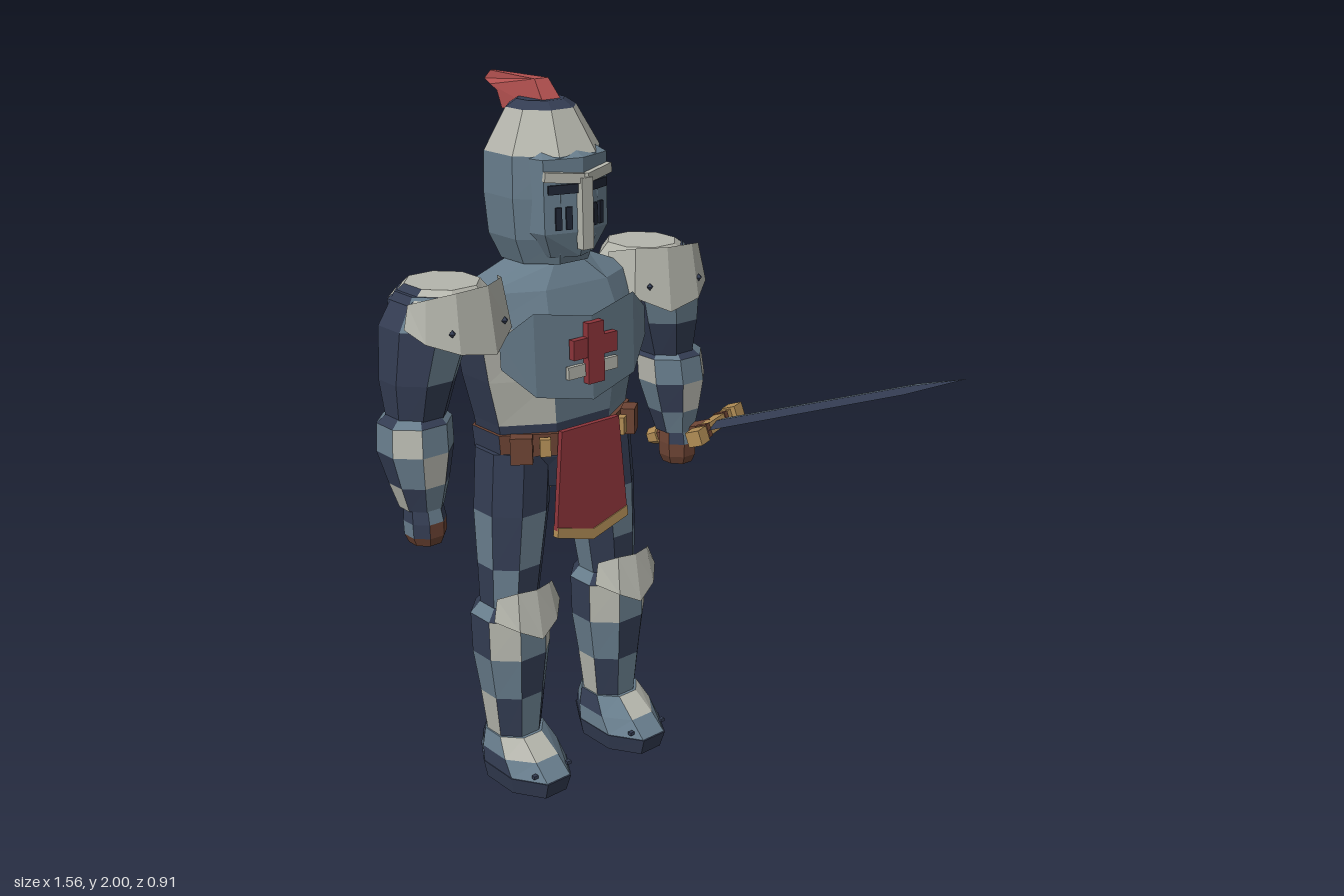
import * as THREE from 'three';

const mat = (name, color) => new THREE.MeshStandardMaterial({ name, color, side: THREE.DoubleSide });
const M = {
  S: mat('steel blue', 0x677c8b), D: mat('dark steel', 0x333c52), L: mat('pale steel', 0xb4b5ac),
  R: mat('red cloth', 0x8c343a), V: mat('dark plum cloth', 0x4c2e3a), P: mat('plume red', 0xb2504f),
  G: mat('gold', 0xb08c55), B: mat('brown leather', 0x6b4333), W: mat('blade steel', 0x55636f), K: mat('black slit', 0x1f2534),
};
const UP = new THREE.Vector3(0, 1, 0);

function flat(g) {
  const f = g.index ? g.toNonIndexed() : g;
  f.computeVertexNormals();
  return f;
}
function add(parent, name, geo, key, pos = [0, 0, 0], rot = [0, 0, 0]) {
  const m = new THREE.Mesh(flat(geo), M[key]);
  m.name = name;
  m.position.set(...pos);
  m.rotation.set(...rot);
  parent.add(m);
}
const box = (p, name, key, size, pos, rot) => add(p, name, new THREE.BoxGeometry(...size), key, pos, rot);

// Eight-sided armour shell from rings [y, cx, cz, rx, rz]; each band has a
// string of facet colours, starting in front and turning to the model's left.
function loft(parent, name, rings, bands, s = 1, caps = 'DD') {
  const n = 8, k = 1 / Math.cos(Math.PI / n), tris = {};
  const pt = ([y, cx, cz, rx, rz], i) => {
    const a = (i - 0.5) * 2 * Math.PI / n;
    return [s * cx + Math.sin(a) * rx * k, y, cz + Math.cos(a) * rz * k];
  };
  const put = (key, ...pts) => (tris[key] ??= []).push(...pts.flat());
  const last = rings[rings.length - 1];
  for (let i = 0; i < n; i++) {
    for (let j = 0; j + 1 < rings.length; j++) {
      const band = bands[j % bands.length];
      const key = band[(s > 0 ? i : (n - i) % n) % band.length];
      const a = pt(rings[j], i), b = pt(rings[j], i + 1), c = pt(rings[j + 1], i + 1), d = pt(rings[j + 1], i);
      put(key, a, b, c, a, c, d);
    }
    const lo = [s * rings[0][1], rings[0][0], rings[0][2]], hi = [s * last[1], last[0], last[2]];
    put(caps[0], lo, pt(rings[0], i + 1), pt(rings[0], i));
    put(caps[1], hi, pt(last, i), pt(last, i + 1));
  }
  const geo = new THREE.BufferGeometry(), keys = Object.keys(tris);
  geo.setAttribute('position', new THREE.Float32BufferAttribute(keys.flatMap(q => tris[q]), 3));
  let start = 0;
  keys.forEach((q, i) => { geo.addGroup(start, tris[q].length / 3, i); start += tris[q].length / 3; });
  geo.computeVertexNormals();
  const m = new THREE.Mesh(geo, keys.map(q => M[q]));
  m.name = name;
  parent.add(m);
}

// Open sheet through rows of points
function sheet(parent, name, key, rows) {
  const v = [];
  for (let j = 0; j + 1 < rows.length; j++)
    for (let i = 0; i + 1 < rows[j].length; i++) {
      const a = rows[j][i], b = rows[j][i + 1], c = rows[j + 1][i + 1], d = rows[j + 1][i];
      v.push(...a, ...d, ...c, ...a, ...c, ...b);
    }
  const g = new THREE.BufferGeometry();
  g.setAttribute('position', new THREE.Float32BufferAttribute(v, 3));
  add(parent, name, g, key);
}
// Curved guard wrapped round a limb; columns are [degrees, topY, bottomY]
function guard(parent, name, key, s, cx, cz, rTop, rBot, cols) {
  const row = (r, q) => cols.map(c => {
    const a = c[0] * Math.PI / 180;
    return [s * (cx + r * Math.sin(a)), c[q], cz + r * Math.cos(a)];
  });
  const rows = [row(rTop, 1), row(rBot, 2)];
  sheet(parent, name, key, s > 0 ? rows : rows.map(r => r.reverse()));
}
function panel(pts, depth) {
  const shape = new THREE.Shape(pts.map(p => new THREE.Vector2(...p)));
  return new THREE.ExtrudeGeometry(shape, { depth, bevelEnabled: false });
}

function buildSide(g, s) {
  const side = new THREE.Group();
  side.name = s > 0 ? 'leftLimbs' : 'rightLimbs';
  g.add(side);
  // Leg
  loft(side, 'thigh', [[0.55, 0.18, 0.025, 0.078, 0.08], [0.68, 0.17, 0.025, 0.088, 0.09], [0.84, 0.155, 0.02, 0.1, 0.105], [1.02, 0.14, 0.02, 0.1, 0.105]],
    ['DSDDSDSD', 'SDSDDSDD', 'DDDSDDSD'], s);
  loft(side, 'greave', [[0.12, 0.18, 0.025, 0.07, 0.075], [0.28, 0.18, 0.027, 0.088, 0.09], [0.41, 0.18, 0.027, 0.105, 0.105], [0.53, 0.18, 0.027, 0.106, 0.108], [0.57, 0.18, 0.025, 0.07, 0.075]],
    ['SDLSDSLD', 'DSSLSDSS', 'SLDSSSDL', 'SDSDSDSD'], s);
  guard(side, 'kneeGuard', 'L', s, 0.18, 0.05, 0.108, 0.13, [[-62, 0.61, 0.55], [-30, 0.63, 0.52], [0, 0.63, 0.485], [30, 0.63, 0.52], [62, 0.61, 0.55]]);
  loft(side, 'sole', [[0, 0.18, 0.068, 0.09, 0.15], [0.055, 0.18, 0.072, 0.1, 0.165]], ['D'], s);
  loft(side, 'boot', [[0.055, 0.18, 0.072, 0.098, 0.16], [0.1, 0.18, 0.05, 0.094, 0.13], [0.15, 0.18, 0.025, 0.078, 0.088]], ['SSDSSDSS', 'LLSDSSDS'], s, 'DS');
  for (const a of [-0.06, 0.06]) box(side, 'bootRivet', 'D', [0.014, 0.01, 0.012], [s * 0.18 + a, 0.073, 0.2]);
  // Arm; the right one hangs a little wider
  const o = s > 0 ? 0 : 0.02;
  loft(side, 'upperArm', [[1.15, 0.43 + o, 0.02, 0.07, 0.07], [1.28, 0.415 + o, 0.02, 0.095, 0.1], [1.42, 0.4, 0.02, 0.115, 0.12], [1.5, 0.37, 0.01, 0.09, 0.1]],
    ['DDDSDDDD', 'SDDDSDDS', 'DSDSDSDD'], s);
  loft(side, 'forearm', [[0.93, 0.44 + o, 0.04, 0.055, 0.058], [1.0, 0.44 + o, 0.035, 0.075, 0.075], [1.09, 0.44 + o, 0.025, 0.095, 0.096], [1.165, 0.435 + o, 0.02, 0.092, 0.093], [1.195, 0.43 + o, 0.02, 0.06, 0.06]],
    ['SDLSDSDS', 'LSDSLDSD', 'SLSDSSLS', 'DSDSDSDS'], s);
  loft(side, 'fist', [[0.83, 0.44 + o, 0.05, 0.042, 0.045], [0.855, 0.44 + o, 0.05, 0.052, 0.055], [0.895, 0.44 + o, 0.05, 0.053, 0.056], [0.945, 0.44 + o, 0.045, 0.046, 0.05]],
    ['BBBDBBBB', 'BDSDSBBB', 'SDDSDDBD'], s, 'BD');
  // Shoulder armour
  loft(side, 'pauldron', [[1.42, 0.355, 0.01, 0.122, 0.125], [1.48, 0.35, 0.01, 0.125, 0.13], [1.515, 0.34, 0.01, 0.09, 0.1]],
    ['LDDDSSLL', 'LLDLLLLL'], s, 'DL');
  guard(side, 'shoulderGuard', 'L', s, 0.345, 0.01, 0.158, 0.18, [[-78, 1.51, 1.43], [-48, 1.525, 1.39], [-15, 1.525, 1.345], [20, 1.52, 1.365], [48, 1.505, 1.395], [66, 1.49, 1.43]]);
  for (const a of [-0.6, 0.45])
    add(side, 'shoulderRivet', new THREE.OctahedronGeometry(0.011), 'D', [s * (0.345 + 0.172 * Math.sin(a)), 1.42, 0.01 + 0.172 * Math.cos(a)]);
}

function buildHead(g) {
  const head = new THREE.Group();
  head.name = 'head';
  g.add(head);
  loft(head, 'neck', [[1.46, 0, 0.02, 0.095, 0.09], [1.58, 0, 0.02, 0.085, 0.085]], ['DSDSSSSD']);
  loft(head, 'helmet', [[1.53, 0, 0.01, 0.115, 0.12], [1.6, 0, 0.005, 0.142, 0.147], [1.71, 0, 0.005, 0.15, 0.155], [1.82, 0, 0.005, 0.145, 0.152], [1.93, 0, 0.005, 0.088, 0.092], [1.95, 0, 0.005, 0.06, 0.063]],
    ['SSSSSDSS', 'SSSSSSSS', 'SSDSLSSS', 'LLLLDDLL', 'DDDDDDDD']);
  // Visor curved over the face
  const vx = [-1.08, -0.9, 0, 0.9, 1.08], vz = [0.05, 0.145, 0.178, 0.145, 0.05];
  sheet(head, 'visor', 'S', [[1.835, 0.095, -0.035], [1.815, 0.117, 0], [1.62, 0.117, 0], [1.55, 0.08, -0.02]]
    .map(([y, w, dz]) => vx.map((x, i) => [x * w, y, vz[i] + dz])));
  // Nose piece, brows, eye slits and breathing slots
  box(head, 'nosePiece', 'L', [0.036, 0.19, 0.026], [0, 1.67, 0.182]);
  for (const s of [-1, 1]) {
    const at = x => 0.181 - x * 0.314;
    box(head, 'browPiece', 'L', [0.11, 0.026, 0.026], [s * 0.055, 1.768, at(0.055)], [0, s * 0.305, s * 0.1]);
    box(head, 'eyeSlit', 'K', [0.085, 0.024, 0.009], [s * 0.055, 1.737, at(0.055)], [0, s * 0.305, 0]);
    for (const x of [0.042, 0.07])
      box(head, 'breathSlot', 'K', [0.017, 0.06, 0.009], [s * x, 1.66, at(x)], [0, s * 0.305, 0]);
  }
  // Plume, drawn in profile and narrowed toward its tail
  const plume = panel([[0.06, 1.915], [0.05, 1.95], [0.01, 2.0], [-0.21, 2.0], [-0.24, 1.975], [-0.18, 1.968], [-0.15, 1.955], [-0.13, 1.91]], 0.06);
  plume.translate(0, 0, -0.03).rotateY(-Math.PI / 2);
  const p = plume.attributes.position;
  for (let i = 0; i < p.count; i++) p.setX(i, p.getX(i) * (p.getZ(i) < -0.2 ? 0.2 : p.getY(i) > 1.99 ? 0.75 : 1));
  add(head, 'plume', plume, 'P');
}

function buildTorso(g) {
  loft(g, 'torso', [[0.9, 0, 0.02, 0.14, 0.11], [1.0, 0, 0.015, 0.21, 0.135], [1.1, 0, 0.015, 0.225, 0.14], [1.23, 0, 0.015, 0.255, 0.15], [1.38, 0, 0.02, 0.28, 0.15], [1.47, 0, 0.01, 0.25, 0.13], [1.53, 0, 0.01, 0.11, 0.095]],
    ['DDDDDDDD', 'DSDDDSDD', 'SSDDDDDL', 'SLDDSDDL', 'SSSSSSSS', 'SSSSSSSS']);
  loft(g, 'belt', [[1.01, 0, 0.015, 0.225, 0.148], [1.075, 0, 0.015, 0.23, 0.152]], ['BBDSDDDB'], 1, 'BB');
  for (const s of [-1, 1]) {
    box(g, 'beltBuckle', 'G', [0.03, 0.05, 0.02], [s * 0.135, 1.042, 0.158], [0, s * 0.6, 0]);
    box(g, 'beltPouch', 'B', [0.06, 0.075, 0.04], [s * 0.19, 1.04, 0.125], [0, s * 0.7, 0]);
  }
  // Breastplate with its cross
  const xs = [-0.25, -0.17, 0, 0.17, 0.25], zs = [0.125, 0.17, 0.2, 0.17, 0.125];
  const top = [1.36, 1.425, 1.395, 1.425, 1.36], low = [1.28, 1.195, 1.16, 1.195, 1.28];
  sheet(g, 'breastplate', 'S', [xs.map((x, i) => [x, top[i], zs[i]]), xs.map((x, i) => [x, low[i], zs[i] + 0.003])]);
  box(g, 'crossPost', 'R', [0.055, 0.17, 0.022], [0, 1.297, 0.208]);
  box(g, 'crossArms', 'R', [0.15, 0.055, 0.02], [0, 1.315, 0.207]);
  box(g, 'chestBand', 'L', [0.17, 0.035, 0.012], [0, 1.25, 0.199]);
  // Front cloth
  add(g, 'tabard', panel([[-0.1, 1.085], [-0.125, 0.8], [0, 0.765], [0.125, 0.8], [0.1, 1.085]], 0.016), 'R', [0, 0, 0.172]);
  add(g, 'tabardHem', panel([[-0.124, 0.81], [-0.126, 0.78], [0, 0.742], [0.126, 0.78], [0.124, 0.81], [0, 0.773]], 0.022), 'G', [0, 0, 0.169]);
  // Cape, hanging in folds toward the left, with a darker middle fold
  const cape = [
    [[0.3, 1.44, -0.09], [0.19, 1.46, -0.1], [0.03, 1.47, -0.11], [-0.17, 1.46, -0.1]],
    [[0.33, 1.41, -0.14], [0.2, 1.42, -0.145], [0.03, 1.43, -0.175], [-0.18, 1.43, -0.148]],
    [[0.325, 1.06, -0.2], [0.2, 1.05, -0.175], [0.05, 1.04, -0.215], [-0.095, 1.06, -0.165]],
    [[0.325, 0.775, -0.325], [0.205, 0.735, -0.265], [0.077, 0.71, -0.295], [-0.08, 0.75, -0.24]],
    [[0.325, 0.745, -0.335], [0.205, 0.705, -0.272], [0.078, 0.68, -0.303], [-0.08, 0.72, -0.245]],
  ];
  for (const i of [0, 1, 2])
    sheet(g, 'capeFold', i === 1 ? 'V' : 'R', cape.slice(0, 4).map(r => r.slice(i, i + 2)));
  sheet(g, 'capeHem', 'G', cape.slice(3));
}

function buildSword() {
  const sword = new THREE.Group();
  sword.name = 'sword';
  const f = new THREE.Vector3(0.7, 0.26, 0.315).normalize();
  const w = new THREE.Vector3().crossVectors(f, UP).normalize().negate();
  sword.quaternion.setFromRotationMatrix(new THREE.Matrix4().makeBasis(w, f, new THREE.Vector3().crossVectors(w, f)));
  sword.position.set(0.08, 0.957, -0.215);
  // Ridged blade in four bevels; local -z is the upper face
  for (const sx of [-1, 1])
    for (const sz of [-1, 1])
      sheet(sword, 'bladeBevel', sz > 0 ? 'S' : sx < 0 ? 'D' : 'W',
        [[0, 0.064, 0.011], [0.64, 0.054, 0.009], [0.81, 0, 0]].map(([y, hw, t]) => [[sx * hw, y, 0], [0, y, sz * t]]));
  // Hilt
  box(sword, 'guard', 'G', [0.21, 0.035, 0.035], [0, 0, 0]);
  for (const s of [-1, 1]) {
    box(sword, 'guardEnd', 'G', [0.05, 0.045, 0.045], [s * 0.12, 0.01, 0]);
    box(sword, 'guardBand', 'B', [0.02, 0.04, 0.04], [s * 0.06, 0, 0]);
  }
  add(sword, 'grip', new THREE.CylinderGeometry(0.02, 0.02, 0.19, 6), 'B', [0, -0.1, 0]);
  add(sword, 'pommel', new THREE.CylinderGeometry(0.03, 0.024, 0.035, 6), 'G', [0, -0.205, 0]);
  return sword;
}

export function createModel() {
  const model = new THREE.Group();
  model.name = 'armouredKnight';
  const knight = new THREE.Group();
  knight.name = 'knight';
  // The figure stands turned toward its left
  knight.rotation.y = Math.PI / 4;
  knight.position.set(-0.375, 0, 0.015);
  buildTorso(knight);
  buildHead(knight);
  for (const s of [-1, 1]) buildSide(knight, s);
  model.add(knight, buildSword());
  return model;
}
